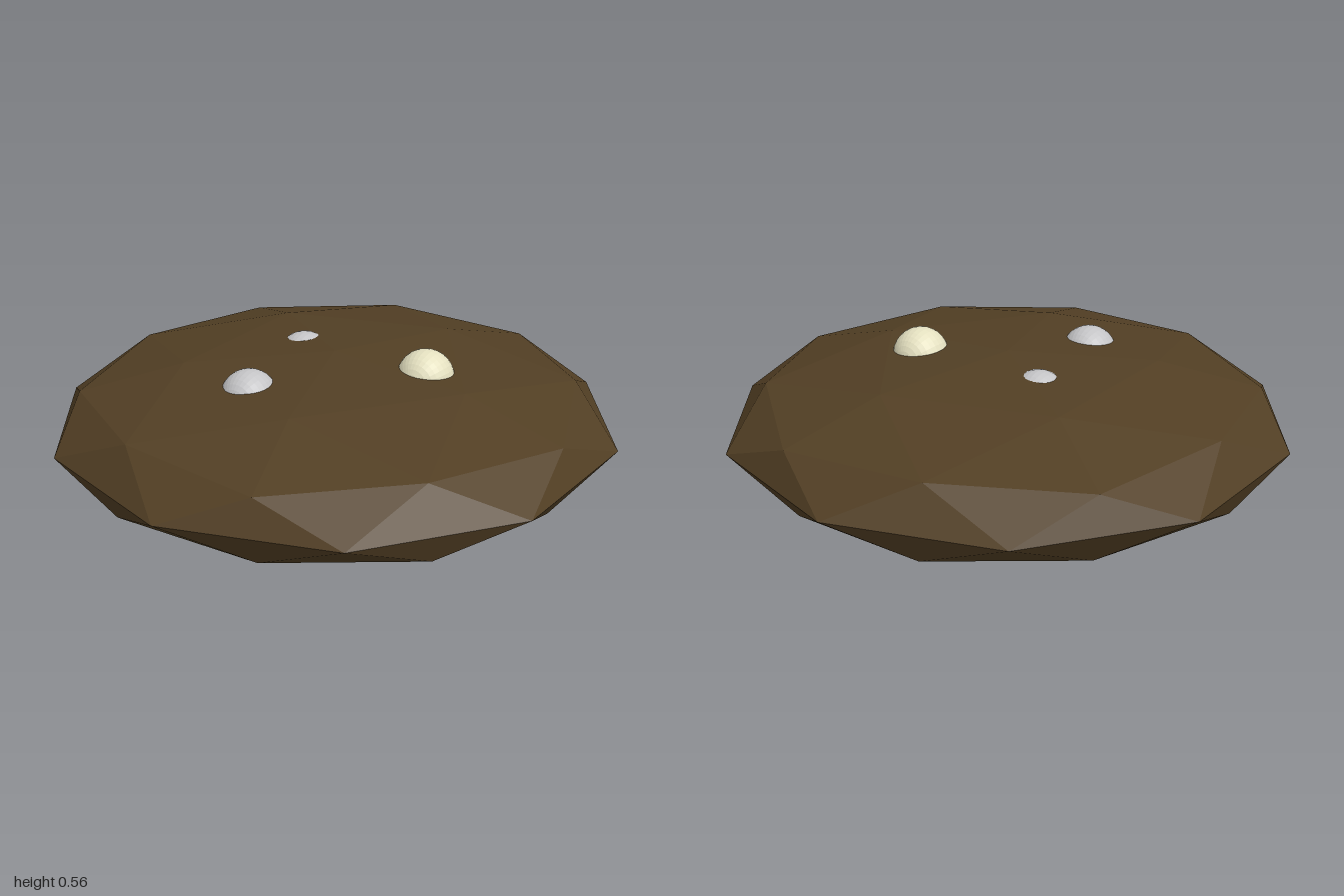
import * as THREE from 'three';

export function createModel() {
  const group = new THREE.Group();
  const material = (name, color) => {
    const m = new THREE.MeshStandardMaterial({ color, flatShading: true });
    m.name = name;
    return m;
  };
  const brown = material('brown', 0x523f24);
  const cream = material('cream', 0xe4e0c0);
  const grey = material('light grey', 0xc4c4c6);

  // Flattened faceted body: icosphere turned so a corner points straight up
  const halfHeight = 0.256;
  const bodyGeometry = new THREE.IcosahedronGeometry(1, 1);
  bodyGeometry.rotateZ(-Math.atan(2 / (1 + Math.sqrt(5))));
  bodyGeometry.scale(1, halfHeight, 1);
  bodyGeometry.translate(0, halfHeight, 0);
  const body = new THREE.Mesh(bodyGeometry, brown);
  body.name = 'body';
  group.add(body);

  // Equal balls sunk to different depths in the top
  const ballGeometry = new THREE.SphereGeometry(0.1, 32, 16);
  ballGeometry.rotateX(Math.PI / 2);
  const balls = [
    ['creamBall', cream, 0.317, 0.455, -0.09],
    ['frontGreyBall', grey, -0.117, 0.426, 0.34],
    ['backGreyBall', grey, -0.195, 0.411, -0.093],
  ];
  for (const [name, mat, x, y, z] of balls) {
    const ball = new THREE.Mesh(ballGeometry, mat);
    ball.name = name;
    ball.position.set(x, y, z);
    group.add(ball);
  }
  return group;
}
